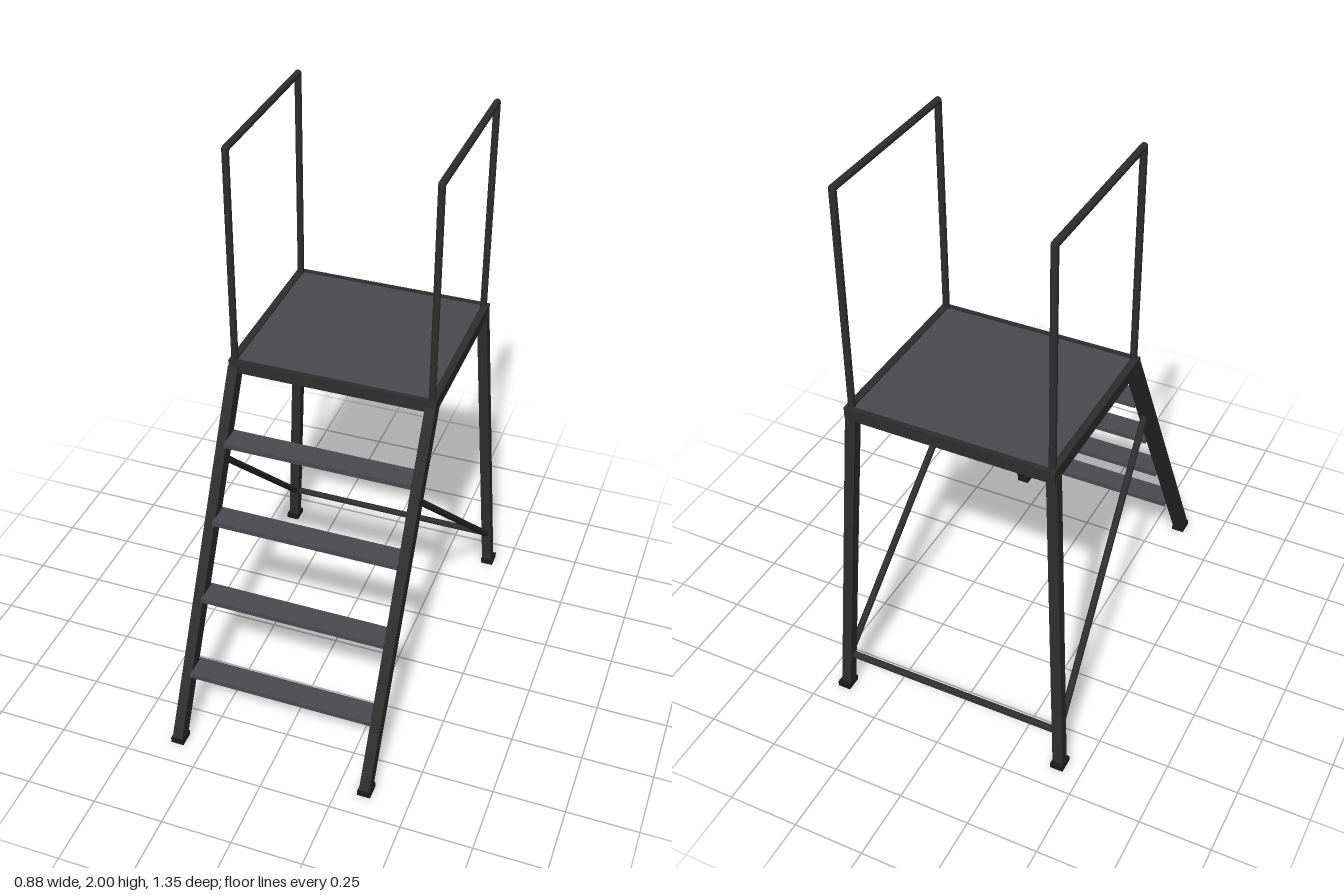
import * as THREE from 'three';

export function createModel() {
  const model = new THREE.Group();
  const material = (name, color) => {
    const m = new THREE.MeshStandardMaterial({ color });
    m.name = name;
    return m;
  };
  const frame = material('dark steel', 0x2e2e2e);
  const tread = material('grey tread', 0x4b4a4f);
  const rubber = material('black rubber', 0x1a1a1a);

  const add = (name, geometry, mat, x = 0, y = 0, z = 0) => {
    const mesh = new THREE.Mesh(geometry, mat);
    mesh.name = name;
    mesh.position.set(x, y, z);
    model.add(mesh);
    return mesh;
  };
  const box = (name, w, h, d, mat, x, y, z) =>
    add(name, new THREE.BoxGeometry(w, h, d), mat, x, y, z);

  // Square bar between two points, w across x and d across its depth
  const bar = (name, a, b, w, d) => {
    const p = new THREE.Vector3(...a), q = new THREE.Vector3(...b);
    const up = q.clone().sub(p);
    const mesh = box(name, w, up.length(), d, frame, 0, 0, 0);
    mesh.position.copy(p).add(q).multiplyScalar(0.5);
    up.normalize();
    const side = new THREE.Vector3(1, 0, 0).addScaledVector(up, -up.x).normalize();
    mesh.quaternion.setFromRotationMatrix(
      new THREE.Matrix4().makeBasis(side, up, side.clone().cross(up)));
  };

  // Round tube between two points
  const rod = (name, a, b, r) => {
    const p = new THREE.Vector3(...a), q = new THREE.Vector3(...b);
    const dir = q.clone().sub(p);
    const mesh = add(name, new THREE.CylinderGeometry(r, r, dir.length(), 12), frame);
    mesh.position.copy(p).add(q).multiplyScalar(0.5);
    mesh.quaternion.setFromUnitVectors(new THREE.Vector3(0, 1, 0), dir.normalize());
  };

  // Platform: deck and its edge frame
  box('deck', 0.69, 0.03, 0.635, tread, 0, 1.203, -0.272);
  for (const z of [0.046, -0.589]) box('platformCrossRail', 0.7, 0.045, 0.016, frame, 0, 1.2, z);

  for (const s of [1, -1]) {
    box('platformSideRail', 0.025, 0.045, 0.65, frame, s * 0.35, 1.2, -0.271);

    // Sloping stringers, splayed rear legs and feet
    bar('stringer', [s * 0.345, 0.012, 0.645], [s * 0.345, 1.19, 0.035], 0.036, 0.052);
    bar('rearLeg', [s * 0.415, 0.01, -0.645], [s * 0.347, 1.19, -0.57], 0.036, 0.036);
    box('frontFoot', 0.046, 0.02, 0.056, rubber, s * 0.345, 0.01, 0.643);
    box('rearFoot', 0.046, 0.02, 0.056, rubber, s * 0.417, 0.01, -0.648);

    // Diagonal brace
    rod('diagonalBrace', [s * 0.346, 0.91, 0.175], [s * 0.406, 0.14, -0.635], 0.012);

    // Handrail with rounded corners
    for (const z of [0.038, -0.575]) {
      rod('handrailPost', [s * 0.345, 1.2, z], [s * 0.345, 1.988, z], 0.012);
      add('handrailCorner', new THREE.SphereGeometry(0.012, 12, 8), frame, s * 0.345, 1.988, z);
    }
    rod('handrail', [s * 0.345, 1.988, 0.038], [s * 0.345, 1.988, -0.575], 0.012);
  }

  // Rear spreader
  rod('rearSpreader', [-0.406, 0.145, -0.635], [0.406, 0.145, -0.635], 0.012);

  // Steps
  for (let i = 0; i < 4; i++) {
    box('step', 0.66, 0.018, 0.087, tread, 0, 0.239 + i * 0.2445, 0.522 - i * 0.123);
  }

  return model;
}
